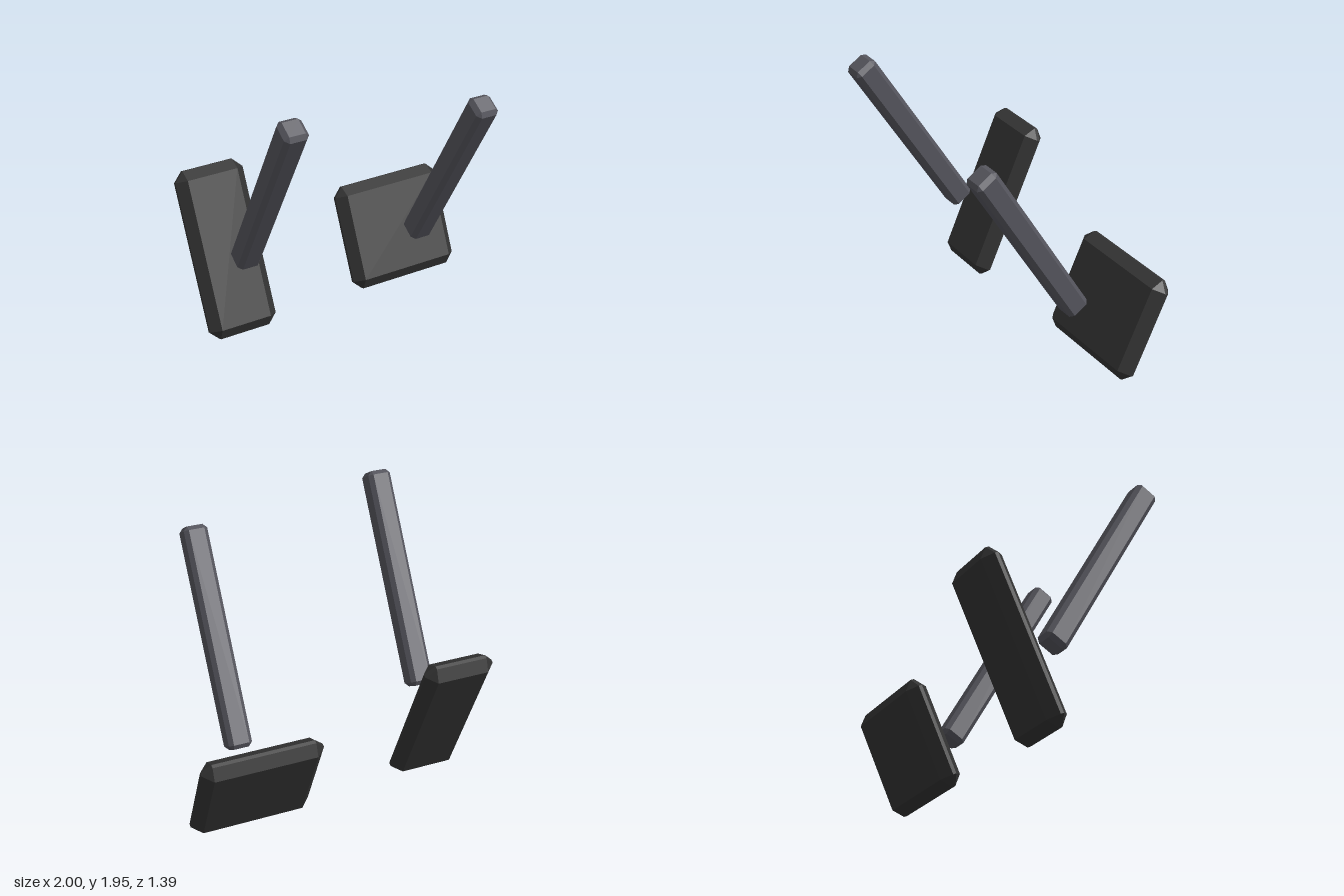
import * as THREE from 'three';
import { ConvexGeometry } from 'three/addons/geometries/ConvexGeometry.js';

const rubber = new THREE.MeshStandardMaterial({ name: 'blackRubber', color: 0x333333 });
const steel = new THREE.MeshStandardMaterial({ name: 'greySteel', color: 0x55555d });

// Box with every edge cut by one flat bevel: each corner becomes three points
function chamferBox(width, height, depth, bevel) {
  const half = [width / 2, height / 2, depth / 2];
  const points = [];
  for (const sx of [-1, 1]) for (const sy of [-1, 1]) for (const sz of [-1, 1]) {
    for (let axis = 0; axis < 3; axis++) {
      const p = half.map((h, i) => (i === axis ? h : h - bevel));
      points.push(new THREE.Vector3(sx * p[0], sy * p[1], sz * p[2]));
    }
  }
  return new ConvexGeometry(points);
}

function addPart(parent, name, geometry, material, position, tiltDegrees) {
  const mesh = new THREE.Mesh(geometry, material);
  mesh.name = name;
  mesh.position.set(...position);
  mesh.rotation.x = THREE.MathUtils.degToRad(tiltDegrees);
  parent.add(mesh);
}

export function createModel() {
  const model = new THREE.Group();
  model.name = 'pedals';

  const pedals = [
    { name: 'tallPedal', x: -0.752, width: 0.495, height: 1.166, padY: 0.557, armY: 1.278 },
    { name: 'widePedal', x: 0.582, width: 0.835, height: 0.748, padY: 0.348, armY: 1.11 },
  ];
  const armGeometry = chamferBox(0.163, 1.492, 0.163, 0.028);

  for (const p of pedals) {
    const pedal = new THREE.Group();
    pedal.name = p.name;
    // foot pad leans back, lever arm leans forward
    addPart(pedal, 'pad', chamferBox(p.width, p.height, 0.157, 0.066), rubber, [p.x, p.padY, -0.403], -25);
    addPart(pedal, 'arm', armGeometry, steel, [p.x, p.armY, 0.265], 30);
    model.add(pedal);
  }
  return model;
}
